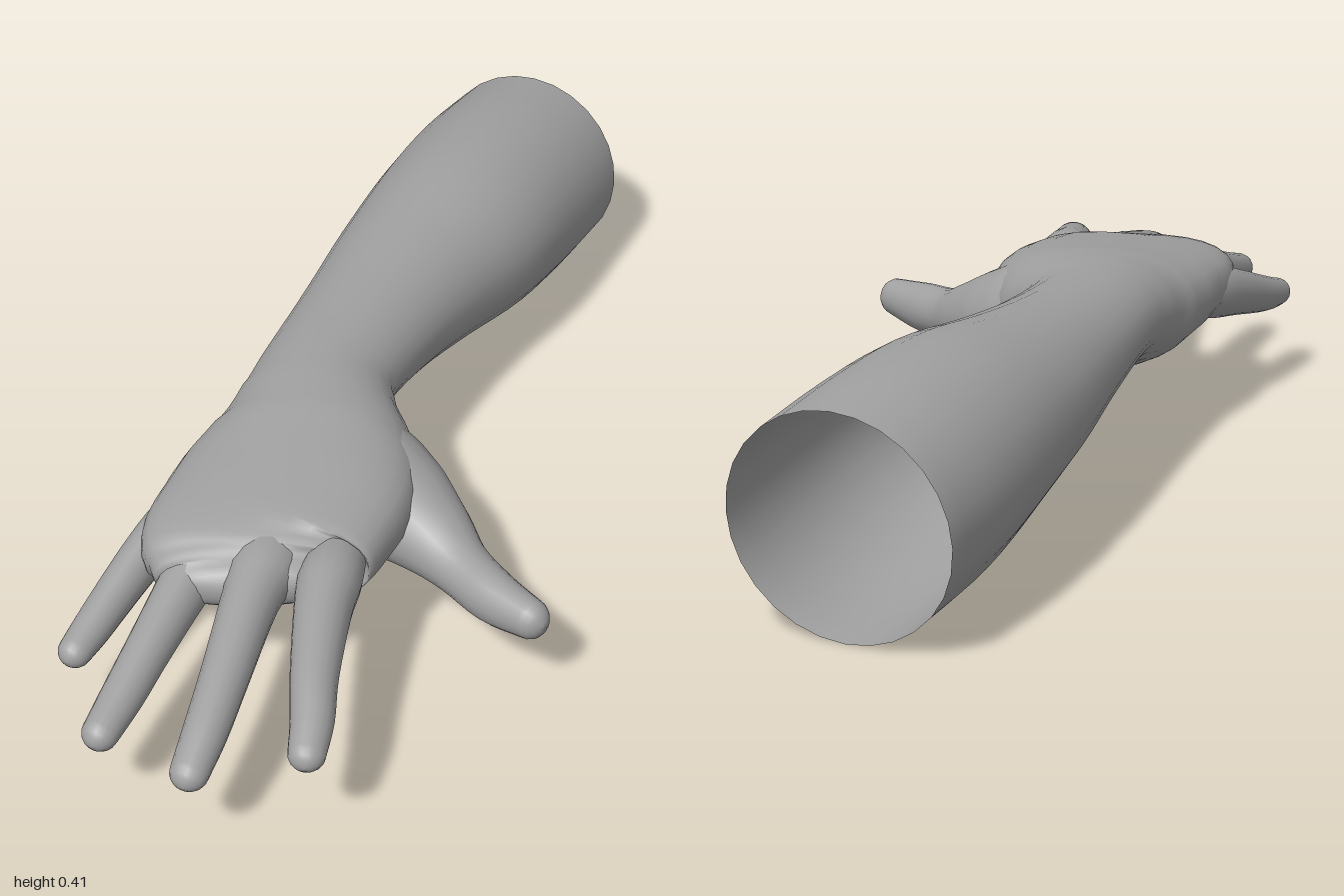
import * as THREE from 'three';

const material = new THREE.MeshStandardMaterial({ color: 0xa0a0a0, side: THREE.DoubleSide });
const UP = new THREE.Vector3(0, 1, 0);

// Skin sections [x, y, z, halfWidth, halfHeight, roundness] along a smooth path, with a rounded far end.
// Roundness 1 is an ellipse, less is boxier.
function loft(name, keys, sides, stepsPerKey) {
  const curve = points => new THREE.CatmullRomCurve3(points, false, 'catmullrom', 0.5);
  const path = curve(keys.map(k => new THREE.Vector3(k[0], k[1], k[2])));
  const size = curve(keys.map(k => new THREE.Vector3(k[3], k[4], k[5] ?? 1)));
  const positions = [], index = [];
  let rings = 0;

  const bulge = (v, e) => Math.sign(v) * Math.abs(v) ** e;
  function addRing(centre, tangent, w, h, e) {
    const side = new THREE.Vector3().crossVectors(UP, tangent).normalize();
    const top = new THREE.Vector3().crossVectors(tangent, side);
    for (let j = 0; j < sides; j++) {
      const a = (j / sides) * Math.PI * 2;
      const p = centre.clone()
        .addScaledVector(side, w * bulge(Math.cos(a), e))
        .addScaledVector(top, h * bulge(Math.sin(a), e));
      positions.push(p.x, p.y, p.z);
    }
    rings++;
  }

  const steps = (keys.length - 1) * stepsPerKey;
  for (let i = 0; i <= steps; i++) {
    const s = size.getPoint(i / steps);
    addRing(path.getPoint(i / steps), path.getTangent(i / steps), s.x, s.y, s.z);
  }

  // Rounded tip
  const end = path.getPoint(1), dir = path.getTangent(1), s = size.getPoint(1);
  const reach = Math.min(s.x, s.y);
  for (let i = 1; i <= 5; i++) {
    const a = (i / 5) * Math.PI / 2, c = Math.max(Math.cos(a), 0.01);
    addRing(end.clone().addScaledVector(dir, reach * Math.sin(a)), dir, s.x * c, s.y * c, s.z);
  }

  for (let i = 0; i < rings - 1; i++) {
    for (let j = 0; j < sides; j++) {
      const a = i * sides + j, b = i * sides + (j + 1) % sides;
      index.push(a, b, a + sides, b, b + sides, a + sides);
    }
  }
  const geometry = new THREE.BufferGeometry();
  geometry.setAttribute('position', new THREE.Float32BufferAttribute(positions, 3));
  geometry.setIndex(index);
  geometry.computeVertexNormals();
  const mesh = new THREE.Mesh(geometry, material);
  mesh.name = name;
  return mesh;
}

export function createModel() {
  const group = new THREE.Group();
  group.name = 'forearmAndHand';

  // Forearm, open at the elbow, running through the wrist into the palm
  group.add(loft('forearmAndPalm', [
    [-0.183, 0.197, -0.98, 0.199, 0.196],
    [-0.192, 0.215, -0.8, 0.203, 0.196],
    [-0.195, 0.236, -0.6, 0.195, 0.18],
    [-0.207, 0.25, -0.4, 0.168, 0.15],
    [-0.208, 0.267, -0.2, 0.143, 0.118],
    [-0.2, 0.282, 0, 0.131, 0.097],
    [-0.178, 0.274, 0.1, 0.151, 0.105, 0.95],
    [-0.144, 0.259, 0.2, 0.191, 0.115, 0.9],
    [-0.12, 0.26, 0.3, 0.215, 0.102, 0.84],
    [-0.115, 0.26, 0.4, 0.215, 0.09, 0.8],
    [-0.115, 0.257, 0.49, 0.206, 0.08, 0.78],
    [-0.1, 0.254, 0.54, 0.178, 0.066, 0.8],
    [-0.09, 0.252, 0.562, 0.155, 0.048, 0.85],
  ], 28, 4));

  // Thumb with its fleshy mount
  group.add(loft('thumb', [
    [-0.17, 0.275, 0.06, 0.05, 0.06],
    [-0.09, 0.255, 0.15, 0.09, 0.09],
    [-0.02, 0.232, 0.205, 0.112, 0.106],
    [0.055, 0.212, 0.237, 0.104, 0.093],
    [0.13, 0.193, 0.27, 0.077, 0.073],
    [0.2, 0.18, 0.312, 0.054, 0.053],
    [0.28, 0.175, 0.358, 0.046, 0.05],
    [0.36, 0.18, 0.393, 0.035, 0.038],
  ], 20, 4));

  // Fingers, swelling out of the knuckles and tapering to the tip
  const fingers = {
    indexFinger: [
      [0.02, 0.262, 0.42, 0.045, 0.04], [0.042, 0.264, 0.52, 0.056, 0.056], [0.064, 0.259, 0.6, 0.05, 0.052],
      [0.113, 0.243, 0.74, 0.041, 0.042], [0.146, 0.225, 0.82, 0.037, 0.037], [0.164, 0.21, 0.88, 0.032, 0.03],
    ],
    middleFinger: [
      [-0.08, 0.265, 0.42, 0.045, 0.045], [-0.074, 0.264, 0.53, 0.062, 0.06], [-0.063, 0.255, 0.62, 0.05, 0.053],
      [-0.032, 0.229, 0.78, 0.042, 0.043], [-0.014, 0.204, 0.89, 0.038, 0.038], [-0.005, 0.183, 0.969, 0.033, 0.031],
    ],
    ringFinger: [
      [-0.185, 0.262, 0.42, 0.045, 0.045], [-0.192, 0.254, 0.52, 0.06, 0.06], [-0.194, 0.237, 0.61, 0.047, 0.051],
      [-0.191, 0.21, 0.75, 0.04, 0.042], [-0.189, 0.188, 0.85, 0.037, 0.037], [-0.188, 0.173, 0.933, 0.032, 0.031],
    ],
    littleFinger: [
      [-0.27, 0.255, 0.36, 0.04, 0.04], [-0.29, 0.24, 0.47, 0.044, 0.052], [-0.307, 0.22, 0.56, 0.039, 0.046],
      [-0.317, 0.197, 0.65, 0.036, 0.04], [-0.322, 0.182, 0.715, 0.034, 0.035], [-0.325, 0.173, 0.77, 0.03, 0.029],
    ],
  };
  for (const [name, keys] of Object.entries(fingers)) group.add(loft(name, keys, 18, 4));

  return group;
}
